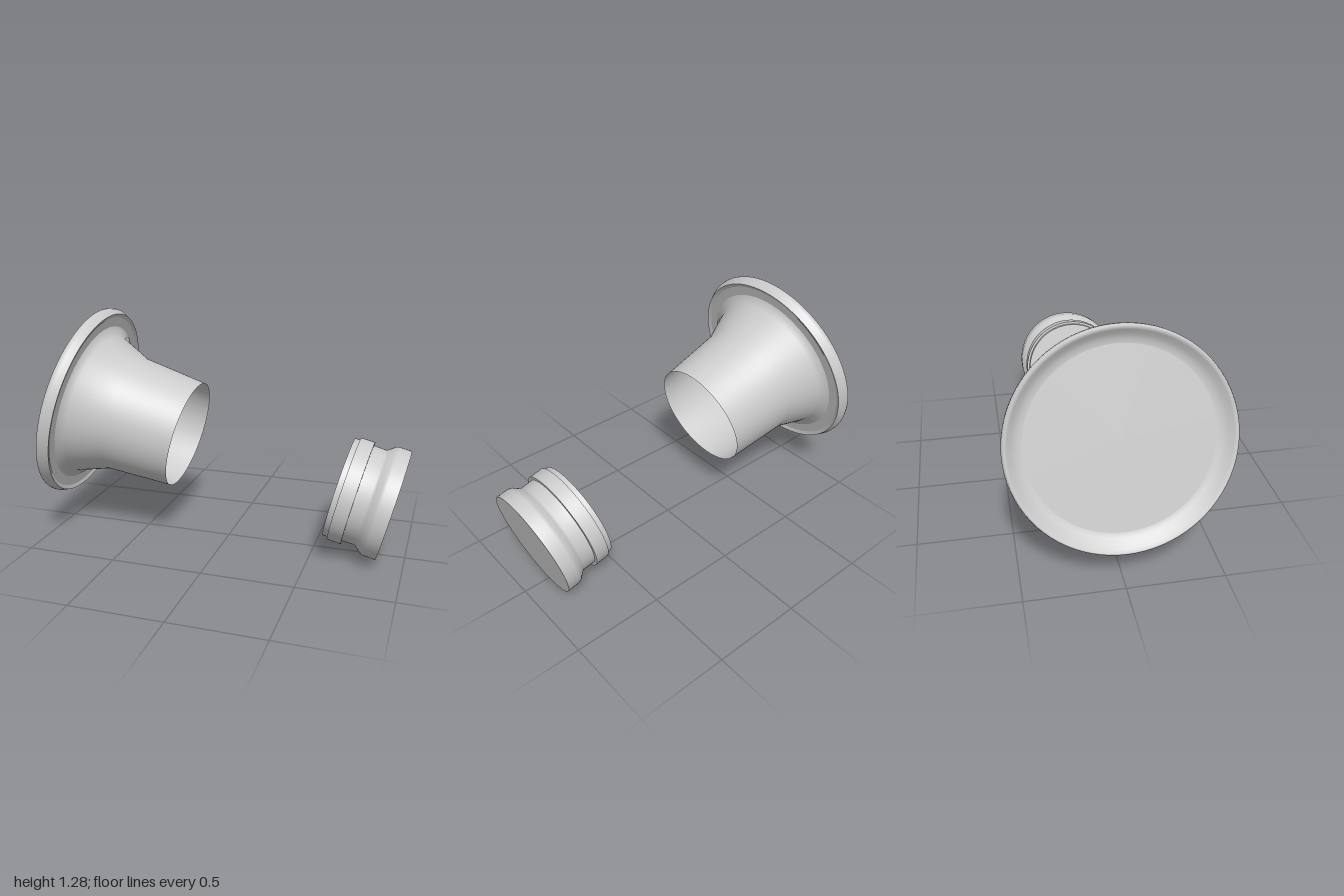
import * as THREE from 'three';
import { mergeGeometries } from 'three/addons/utils/BufferGeometryUtils.js';

const grey = new THREE.MeshStandardMaterial({ color: 0xcccccc, side: THREE.DoubleSide });
grey.name = 'light grey';

// Lathe a list of [radius, height] profiles; each is smooth, with sharp edges between them
function turned(name, profiles) {
  const parts = profiles.map(p =>
    new THREE.LatheGeometry(p.map(([r, h]) => new THREE.Vector2(r, h)), 80));
  const mesh = new THREE.Mesh(mergeGeometries(parts), grey);
  mesh.name = name;
  return mesh;
}

export function createModel() {
  const model = new THREE.Group();
  model.name = 'flaredSocketAndPlug';

  // Both parts share one axis, tilted 14 degrees downwards to +x
  const axis = new THREE.Group();
  axis.name = 'tiltedAxis';
  axis.position.set(-0.24, 0.59, 0);
  axis.rotation.z = THREE.MathUtils.degToRad(-104);
  model.add(axis);

  // Recessed plate closing the wide end
  axis.add(turned('backPlate', [[[0, -0.6], [0.456, -0.6]]]));

  // Dished rim with a rounded lip and a shallow step at the front
  axis.add(turned('rim', [
    [[0.456, -0.6], [0.48, -0.605], [0.505, -0.622], [0.525, -0.643], [0.538, -0.653],
      [0.547, -0.649], [0.552, -0.635], [0.551, -0.618], [0.534, -0.583]],
    [[0.534, -0.583], [0.512, -0.592]],
    [[0.512, -0.592], [0.458, -0.592]],
  ]));

  // Open flared sleeve
  axis.add(turned('sleeve', [
    [[0.458, -0.592], [0.409, -0.563], [0.334, -0.378], [0.304, 0]],
  ]));

  // Solid stepped plug
  axis.add(turned('plug', [
    [[0, 0.893], [0.277, 0.893]],
    [[0.277, 0.893], [0.277, 0.923]],
    [[0.277, 0.923], [0.29, 0.923]],
    [[0.29, 0.923], [0.29, 1.0]],
    [[0.29, 1.0], [0.271, 1.0]],
    [[0.271, 1.0], [0.269, 1.07], [0.28, 1.085], [0.302, 1.112], [0.307, 1.13], [0.306, 1.197]],
    [[0.306, 1.197], [0, 1.197]],
  ]));

  return model;
}
